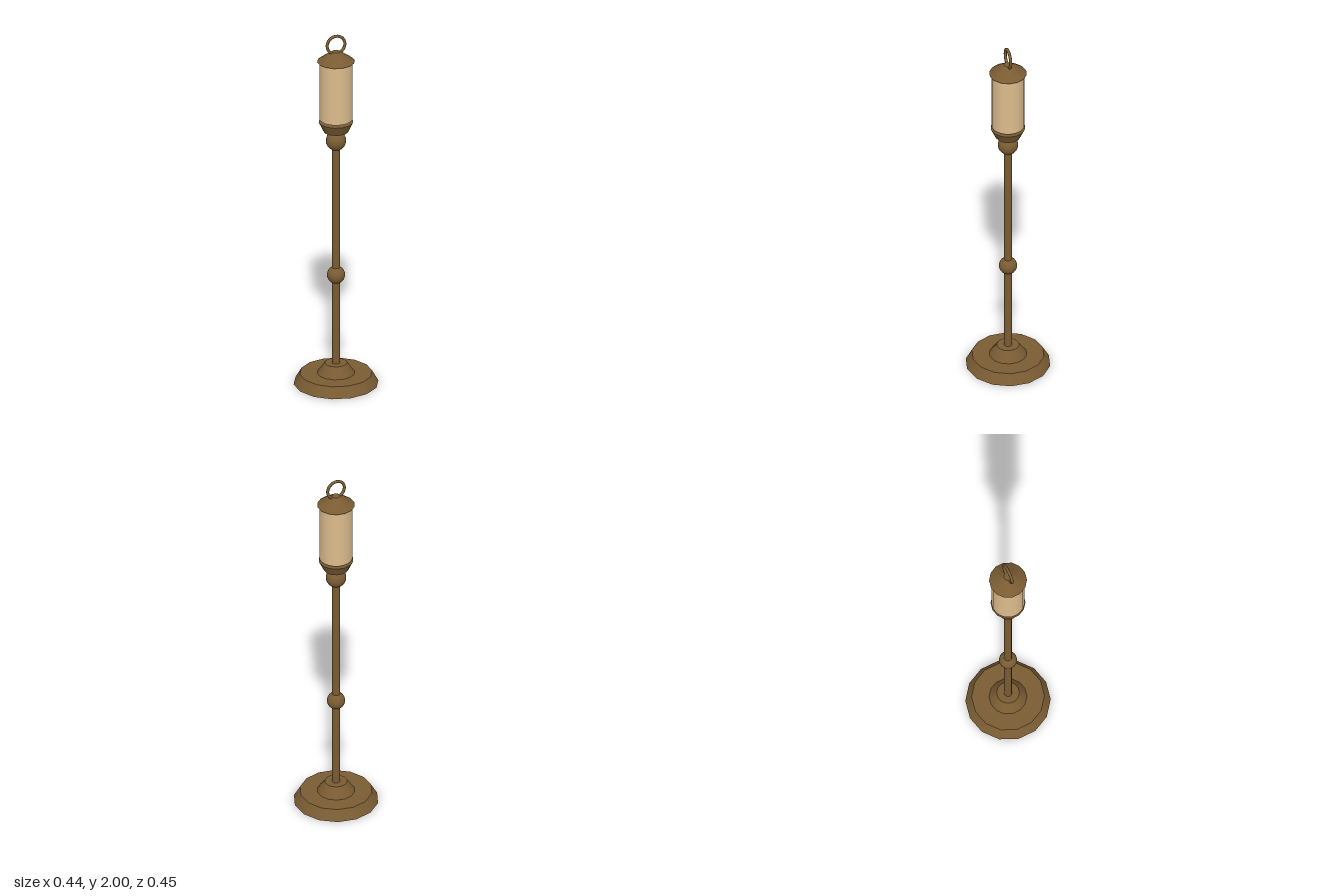
import * as THREE from 'three';

const brass = new THREE.MeshStandardMaterial({ name: 'brown metal', color: 0x7a5c33 });
const glow = new THREE.MeshStandardMaterial({ name: 'warm pane', color: 0xdcbc8c });

export function createModel() {
  const model = new THREE.Group();
  model.name = 'lanternPost';

  const add = (name, geometry, y, material = brass) => {
    const mesh = new THREE.Mesh(geometry, material);
    mesh.name = name;
    mesh.position.y = y;
    model.add(mesh);
  };

  // Tapered drum standing between two heights
  const drum = (name, rTop, rBottom, y0, y1, sides = 14, material = brass) =>
    add(name, new THREE.CylinderGeometry(rTop, rBottom, y1 - y0, sides), (y0 + y1) / 2, material);

  // Stepped foot
  drum('baseLower', 0.192, 0.225, 0, 0.057);
  drum('baseUpper', 0.06, 0.1, 0.057, 0.114);

  // Pole with its two round knobs
  drum('pole', 0.022, 0.022, 0.114, 1.39, 12);
  add('middleKnob', new THREE.SphereGeometry(0.048, 20, 14), 0.62);
  add('upperKnob', new THREE.SphereGeometry(0.054, 20, 14), 1.392);

  // Lantern: cup, neck, glowing body and conical roof
  drum('lanternCup', 0.092, 0.066, 1.447, 1.502);
  drum('lanternNeck', 0.037, 0.037, 1.502, 1.519, 14);
  drum('lanternBody', 0.088, 0.088, 1.517, 1.848, 20, glow);
  drum('lanternRoof', 0.022, 0.1, 1.848, 1.904);

  // Carrying ring
  add('ring', new THREE.TorusGeometry(0.05, 0.008, 10, 32), 1.942);

  return model;
}
